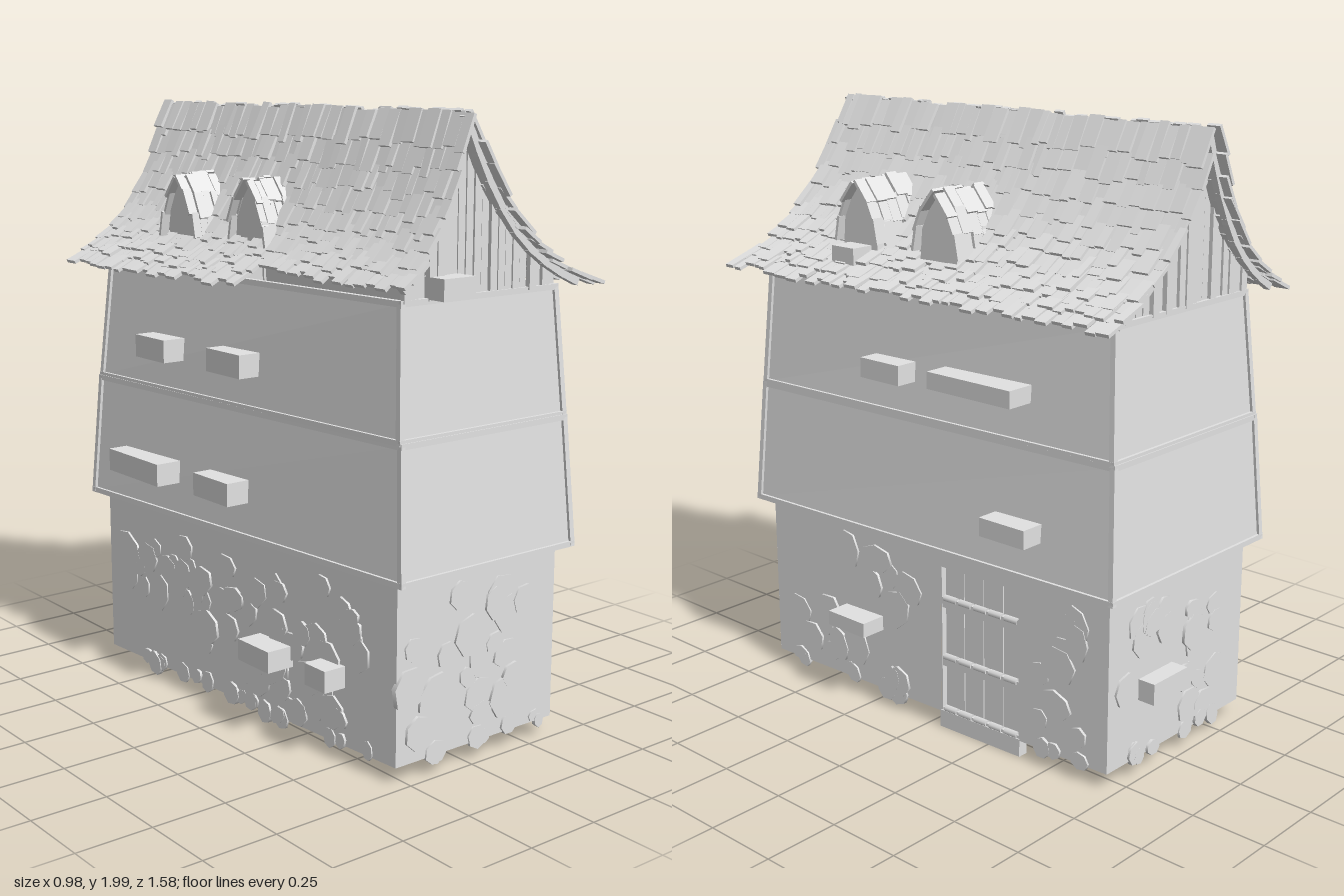
import * as THREE from 'three';
import { mergeGeometries } from 'three/addons/utils/BufferGeometryUtils.js';

const V = (x, y, z) => new THREE.Vector3(x, y, z);

export function createModel() {
  const house = new THREE.Group();
  const grey = new THREE.MeshStandardMaterial({ color: 0xe2e2e2, side: THREE.DoubleSide });
  grey.name = 'light grey';

  let seed = 11;
  const rnd = (a = 0, b = 1) => {
    seed = (seed * 16807) % 2147483647;
    return a + (b - a) * seed / 2147483647;
  };
  const add = (name, geos) => {
    const list = [].concat(geos).map(g => (g.index ? g.toNonIndexed() : g));
    const mesh = new THREE.Mesh(mergeGeometries(list), grey);
    mesh.name = name;
    house.add(mesh);
  };
  // box given by its limits
  const block = (x0, x1, y0, y1, z0, z1) => new THREE.BoxGeometry(x1 - x0, y1 - y0, z1 - z0)
    .translate((x0 + x1) / 2, (y0 + y1) / 2, (z0 + z1) / 2);
  // box lying along d, thickness along n
  const slab = (pos, d, n, len, thick, wide) => new THREE.BoxGeometry(len, thick, wide)
    .applyMatrix4(new THREE.Matrix4().makeBasis(d, n, d.clone().cross(n)).setPosition(pos));
  // square beam between two points
  const beam = (a, b, t) => {
    const d = b.clone().sub(a), len = d.length() + t;
    d.normalize();
    const n = d.clone().cross(Math.abs(d.y) > 0.7 ? V(0, 0, 1) : V(0, 1, 0)).normalize();
    return slab(a.clone().add(b).multiplyScalar(0.5), d, n, len, t, t);
  };
  // flat polygon from corner points
  const face = pts => {
    const g = new THREE.BufferGeometry().setFromPoints(
      pts.slice(2).flatMap((p, i) => [pts[0], pts[i + 1], p]));
    g.computeVertexNormals();
    g.setAttribute('uv', new THREE.Float32BufferAttribute(new Array((pts.length - 2) * 6).fill(0), 2));
    return g;
  };
  const band = (lo, hi) => lo.map((p, i) => {
    const j = (i + 1) % 4;
    return face([p, lo[j], hi[j], hi[i]]);
  });
  const polygon = pts => new THREE.Shape(pts.map(p => new THREE.Vector2(...p)));
  // corners of a floor: front right, front left, back left, back right
  const ring = (fr, fl, bl, br, y, z) => [V(fr, y, z), V(fl, y, z), V(bl, y, -z), V(br, y, -z)];

  // --- Stone ground floor, open underneath, with an opening for the door ---
  const base = y => ring(-0.285, 0.372, 0.31, -0.385, y, 0.72);
  // the door wall runs at a slight angle to z
  const slant = g => g.applyMatrix4(new THREE.Matrix4().set(
    1, 0, 0.043, -0.031, 0, 1, 0, 0, 0, 0, 1, 0, 0, 0, 0, 1));
  const doorWall = polygon([[0.72, 0.055], [0.375, 0.055], [0.375, 0.36], [0.335, 0.41],
    [0.335, 0.43], [0.375, 0.47], [0.36, 0.565], [0.05, 0.565], [0.05, 0.055], [-0.72, 0.055],
    [-0.72, 0.64], [0.72, 0.64]]);
  const walls = band(base(0.055), base(0.64));
  walls[1] = slant(new THREE.ShapeGeometry(doorWall).rotateY(Math.PI / 2).translate(0.372, 0, 0));
  add('stoneWalls', walls);

  // --- Flat rough stones set into the walls ---
  const stones = [];
  const stoneWall = (a, b, count, skip = () => false) => {
    const d = b.clone().sub(a), n = V(0, 1, 0).cross(d).normalize();
    for (let i = 0; i < count; i++) {
      const low = i % 4 === 0, r = low ? rnd(0.025, 0.045) : rnd(0.035, 0.075);
      const p = a.clone().addScaledVector(d, rnd(0.07, 0.93));
      p.y = low ? rnd(0.055, 0.08) : rnd(0.1, 0.55);
      if (skip(p)) continue;
      const along = d.clone().normalize();
      stones.push(new THREE.CylinderGeometry(r, r, rnd(0.008, 0.02), 7)
        .scale(1, 1, rnd(0.65, 1)).rotateY(rnd(0, 6))
        .applyMatrix4(new THREE.Matrix4().makeBasis(along, n, along.clone().cross(n)).setPosition(p)));
    }
  };
  const c = base(0);
  stoneWall(c[1], c[0], 28);
  stoneWall(c[2], c[1], 46, p => p.z < 0.03 && p.z > -0.45);
  stoneWall(c[3], c[2], 28);
  stoneWall(c[0], c[3], 75);
  add('wallStones', stones);

  // --- Plank door with three crossbars, set into its opening ---
  const door = [
    block(0.335, 0.371, 0.565, 0.572, -0.375, -0.05), block(0.335, 0.371, 0.055, 0.565, -0.055, -0.05),
    block(0.335, 0.371, 0.055, 0.36, -0.38, -0.375), block(0.34, 0.374, 0, 0.06, -0.38, -0.045)
  ];
  for (let i = 0; i < 4; i++) {
    const z = -0.375 + i * 0.081;
    door.push(block(0.335, 0.352, 0.03, 0.57, z, z + 0.078));
  }
  for (const y of [0.035, 0.22, 0.425]) {
    door.push(block(0.345, 0.37, y, y + 0.035, -0.375, -0.05));
    for (let i = 0; i < 5; i++) {
      door.push(new THREE.CylinderGeometry(0.012, 0.012, 0.05, 6).rotateX(Math.PI / 2)
        .translate(0.364, y + 0.032, -0.34 + i * 0.063));
    }
  }
  add('door', door.map(slant));

  // --- Two tapering upper floors with trim ---
  const floors = [
    [ring(-0.3, 0.405, 0.345, -0.42, 0.635, 0.755), ring(-0.285, 0.38, 0.317, -0.395, 1.04, 0.73)],
    [ring(-0.287, 0.38, 0.317, -0.392, 1.05, 0.727), ring(-0.265, 0.355, 0.287, -0.36, 1.445, 0.7)]
  ];
  const plaster = [face(floors[0][0])], trim = [];
  for (const [lo, hi] of floors) {
    plaster.push(...band(lo, hi));
    lo.forEach((p, i) => {
      const j = (i + 1) % 4;
      trim.push(beam(p, hi[i], 0.018), beam(p, lo[j], 0.018), beam(hi[i], hi[j], 0.018));
    });
  }
  add('upperWalls', plaster);
  add('wallTrim', trim);

  // --- Projecting boxes on the walls: x, y and z limits ---
  add('wallBoxes', [
    [0.31, 0.415, 1.16, 1.225, 0.05, 0.22], [0.3, 0.415, 1.175, 1.23, -0.415, -0.075],
    [0.31, 0.425, 0.755, 0.815, -0.48, -0.3], [0.33, 0.44, 0.27, 0.32, 0.21, 0.38],
    [-0.43, -0.33, 1.155, 1.23, -0.45, -0.28], [-0.40, -0.31, 1.155, 1.23, -0.08, 0.1],
    [-0.465, -0.36, 0.745, 0.82, -0.58, -0.28], [-0.43, -0.33, 0.745, 0.82, -0.12, 0.07],
    [-0.415, -0.3, 0.245, 0.315, 0.1, 0.26], [-0.38, -0.28, 0.245, 0.315, 0.4, 0.5],
    [-0.01, 0.16, 0.25, 0.32, -0.78, -0.68], [-0.17, -0.045, 1.45, 1.515, 0.68, 0.775],
    [0.27, 0.36, 1.5, 1.555, 0.3, 0.4]
  ].map(b => block(...b)));

  // --- Flared roof, running at a slight angle like the walls ---
  const ridgeX = -0.07;
  const profile = [[0, 1.972], [0.17, 1.8], [0.4, 1.64], [0.65, 1.54], [1, 1.453]];
  const curve = new THREE.CatmullRomCurve3(profile.map(p => V(p[0], p[1], 0)));
  const span = (side, z) => {
    const t = (z + 0.79) / 1.58;
    return side > 0 ? 0.445 + 0.07 * t : 0.385 - 0.095 * t;
  };
  const roofPoint = (side, t, z) => {
    const p = curve.getPointAt(t);
    return V(ridgeX + side * p.x * span(side, z), p.y, z);
  };
  const roofY = (x, z) => {
    const u = Math.min(1, Math.abs(x - ridgeX) / span(x > ridgeX ? 1 : -1, z));
    const i = Math.max(1, profile.findIndex(p => p[0] >= u));
    const [a, b] = [profile[i - 1], profile[i]];
    return a[1] + (b[1] - a[1]) * (u - a[0]) / (b[0] - a[0]);
  };
  const deck = [], shingles = [], rows = 11;
  for (const side of [-1, 1]) {
    for (let r = 0; r < rows; r++) {
      const t0 = r / rows, t1 = (r + 1) / rows;
      if (t1 < (side < 0 ? 0.85 : 0.93)) {
        deck.push(face([roofPoint(side, t0, 0.75), roofPoint(side, t1, 0.75),
          roofPoint(side, t1, -0.75), roofPoint(side, t0, -0.75)]));
      }
      for (let z = -0.785 + rnd(-0.01, 0.015); z < 0.76;) {
        const w = Math.min(rnd(0.025, 0.06), 0.79 - z), zc = z + w / 2;
        z += w;
        // the lowest rows are missing along one stretch of the eave
        if (side < 0 && r >= rows - 2 && zc > 0.1) continue;
        const a = roofPoint(side, t0, zc), b = roofPoint(side, t1, zc);
        const d = b.clone().sub(a), shift = r ? rnd(-0.02, 0.008) : rnd(-0.014, 0.004);
        const len = d.length() + rnd(0.008, 0.04) - shift;
        d.normalize();
        const n = V(-d.y * side, d.x * side, 0);
        d.addScaledVector(n, rnd(0.05, 0.16)).normalize();
        n.set(-d.y * side, d.x * side, 0);
        const pos = a.addScaledVector(d, len / 2 + shift).addScaledVector(n, rnd(0, 0.012));
        shingles.push(slab(pos, d, n, len, 0.011, w - 0.002));
      }
    }
  }
  add('roofDeck', deck);
  add('roofShingles', shingles);

  // --- Plank gables and curved barge boards at both ends ---
  const gables = [], barge = [];
  for (const end of [-1, 1]) {
    const [x0, x1] = end > 0 ? [-0.265, 0.355] : [-0.36, 0.287], w = (x1 - x0) / 20, z = end * 0.7;
    for (let i = 0; i < 20; i++) {
      const a = x0 + i * w + 0.002, b = a + w - 0.004;
      const plank = polygon([[a, 1.445], [b, 1.445], [b, roofY(b, z)], [a, roofY(a, z)]]);
      gables.push(new THREE.ExtrudeGeometry(plank, { depth: 0.016, bevelEnabled: false })
        .translate(0, 0, z - 0.008 + end * rnd(-0.012, 0.008)));
    }
    for (const side of [-1, 1]) {
      const pieces = side < 0 && end > 0 ? 7 : 8;
      for (let i = 0; i < pieces; i++) {
        const p = roofPoint(side, i / 8.8, end * 0.745), q = roofPoint(side, (i + 1) / 8.8, end * 0.745);
        p.y -= 0.012;
        q.y -= 0.012;
        barge.push(beam(p, q, 0.022));
      }
    }
  }
  add('gablePlanks', gables);
  add('bargeBoards', barge);

  // --- Pointed dormers with their own shingles ---
  const arch = [[0, 1.755], [0.045, 1.7], [0.075, 1.635], [0.088, 1.57]];
  const dormer = (side, z, back, front) => {
    const body = polygon([[-0.082, 1.5], [0.082, 1.5], [0.07, 1.635], [0.04, 1.695], [0, 1.745],
      [-0.04, 1.695], [-0.07, 1.635]]);
    const long = front - back;
    add('dormerBody', new THREE.ExtrudeGeometry(body, { depth: long - 0.02, bevelEnabled: false })
      .rotateY(side * Math.PI / 2).translate(side * back, 0, z));
    const tiles = [];
    for (const s of [-1, 1]) {
      for (let r = 0; r < 3; r++) {
        const a = V(0, arch[r][1], z + s * arch[r][0]), b = V(0, arch[r + 1][1], z + s * arch[r + 1][0]);
        const d = b.clone().sub(a), len = d.length() + 0.015;
        d.normalize();
        const n = V(0, d.z * s, -d.y * s);
        for (let i = 0; i < 5; i++) {
          const pos = a.clone().addScaledVector(d, len / 2 + rnd(-0.012, 0.008)).addScaledVector(n, rnd(0, 0.011));
          pos.x = side * (back + (i + 0.5) * long / 5 + rnd(-0.004, 0.01));
          tiles.push(slab(pos, d, n, len, 0.01, long / 5));
        }
      }
    }
    add('dormerShingles', tiles);
  };
  dormer(1, 0, 0.08, 0.3);
  dormer(1, 0.35, 0.08, 0.3);
  dormer(-1, -0.345, 0.17, 0.325);
  dormer(-1, 0, 0.17, 0.3);

  return house;
}
